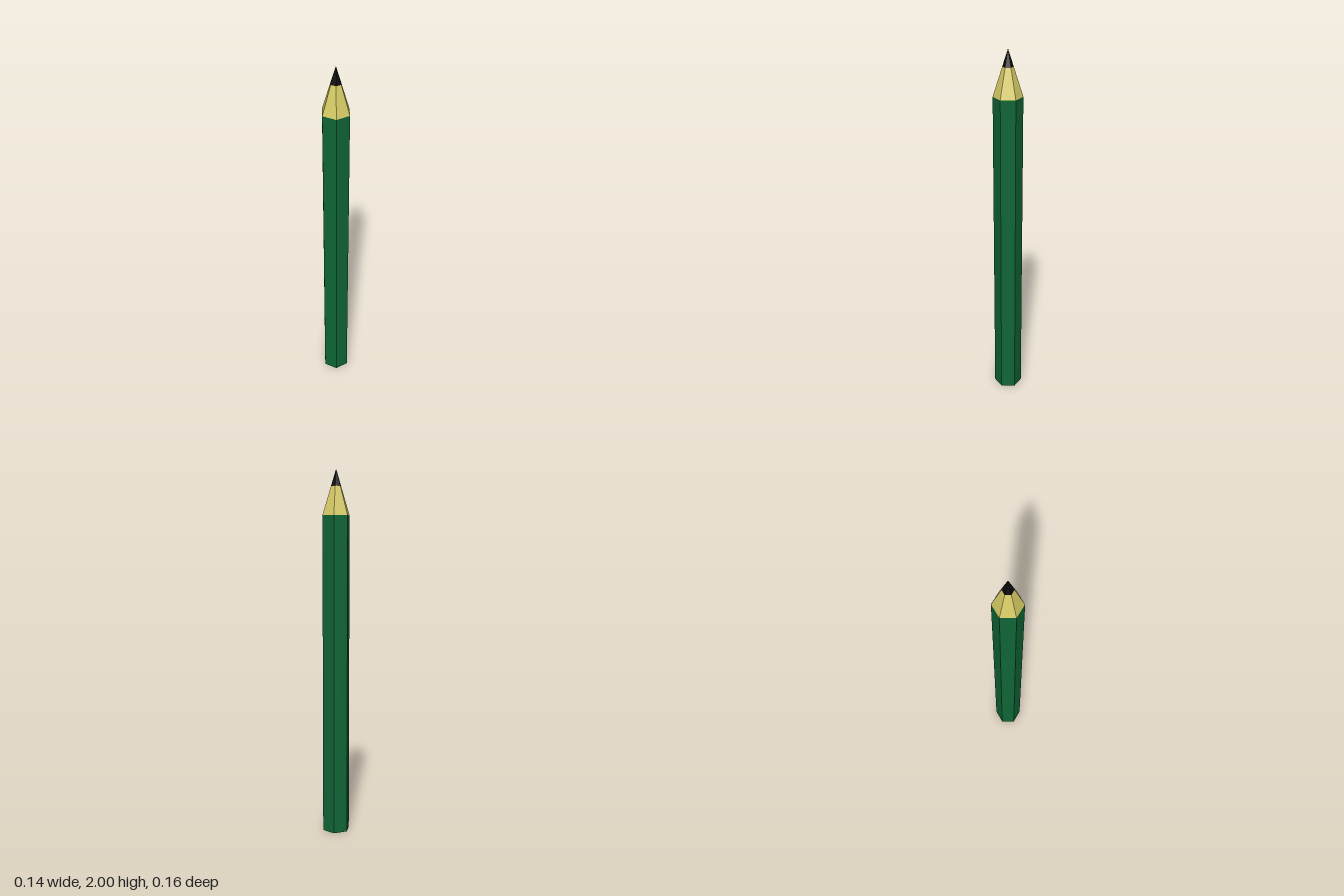
import * as THREE from 'three';

const SIDES = 6;
const RADIUS = 0.078;      // corner radius of the hexagonal body
const LEAD_RADIUS = 0.029;
const BODY_TOP = 1.757;
const LEAD_START = 1.91;
const TIP = 2;

export function createModel() {
  const group = new THREE.Group();
  group.name = 'pencil';

  const material = (color) => new THREE.MeshStandardMaterial({ color, flatShading: true });
  const paint = material(0x0f6636);
  const wood = material(0xd6ca64);
  const lead = material(0x0a0a0c);

  const add = (name, geometry, mat) => {
    const mesh = new THREE.Mesh(geometry, mat);
    mesh.name = name;
    group.add(mesh);
  };

  // open hexagonal section between two heights
  const section = (rBottom, rTop, y0, y1) =>
    new THREE.CylinderGeometry(rTop, rBottom, y1 - y0, SIDES, 1, true).translate(0, (y0 + y1) / 2, 0);

  // painted body, sharpened wood and lead point
  add('body', section(RADIUS, RADIUS, 0, BODY_TOP), paint);
  add('sharpenedWood', section(RADIUS, LEAD_RADIUS, BODY_TOP, LEAD_START), wood);
  add('leadTip',
    new THREE.ConeGeometry(LEAD_RADIUS, TIP - LEAD_START, SIDES, 1, true)
      .translate(0, (LEAD_START + TIP) / 2, 0), lead);

  // flat bottom end: wood around the lead core, facing down
  add('endWood',
    new THREE.RingGeometry(LEAD_RADIUS, RADIUS, SIDES, 1, Math.PI / 2).rotateX(Math.PI / 2), wood);
  add('endLead',
    new THREE.CircleGeometry(LEAD_RADIUS, SIDES, Math.PI / 2).rotateX(Math.PI / 2), lead);

  return group;
}
